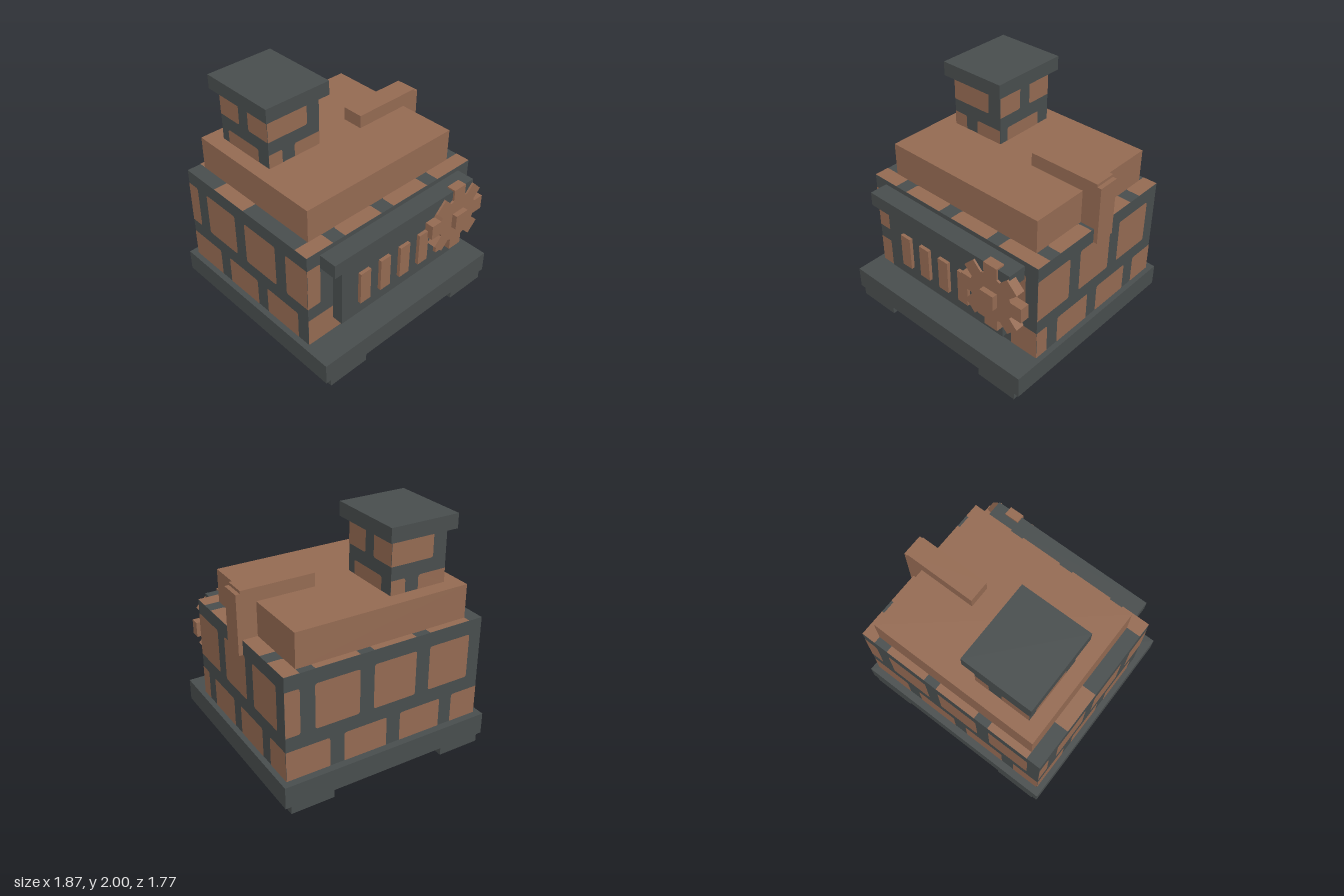
import * as THREE from 'three';

const stone = new THREE.MeshStandardMaterial({ color: 0x484d4d });
stone.name = 'darkStone';
const clay = new THREE.MeshStandardMaterial({ color: 0x946a52 });
clay.name = 'brownClay';

// Box given by its limits on each axis
function box(name, mat, [x0, x1], [y0, y1], [z0, z1]) {
  const m = new THREE.Mesh(new THREE.BoxGeometry(x1 - x0, y1 - y0, z1 - z0), mat);
  m.position.set((x0 + x1) / 2, (y0 + y1) / 2, (z0 + z1) / 2);
  m.name = name;
  return m;
}

// Brick outline: corners are clipped unless they lie on the edge of the wall
function brickShape(u0, u1, v0, v1, W, H) {
  const s = new THREE.Shape();
  const onEdge = (u, v) => u < 0.001 || u > W - 0.001 || v < 0.001 || v > H - 0.001;
  const r = 0.022;
  const corners = [[u0, v0, 1, 0], [u1, v0, 0, 1], [u1, v1, -1, 0], [u0, v1, 0, -1]];
  corners.forEach(([u, v, dx, dy], i) => {
    const [px, py] = [corners[(i + 3) % 4][2], corners[(i + 3) % 4][3]];
    const k = onEdge(u, v) ? 0 : r;
    if (i === 0) s.moveTo(u - px * k, v - py * k);
    else s.lineTo(u - px * k, v - py * k);
    if (k) s.quadraticCurveTo(u, v, u + dx * k, v + dy * k);
  });
  s.closePath();
  return s;
}

// Brick faces on one wall; rows are [v0, v1, [[u0, u1], ...]] from the wall's lower left
function brickWall(name, W, H, rows, origin, rotX, rotY) {
  const shapes = [];
  for (const [v0, v1, spans] of rows)
    for (const [u0, u1] of spans) shapes.push(brickShape(u0, u1, v0, v1, W, H));
  const m = new THREE.Mesh(new THREE.ShapeGeometry(shapes, 4), clay);
  m.position.set(...origin);
  m.rotation.set(rotX, rotY, 0);
  m.name = name;
  return m;
}

// Gear outline with eight square teeth
function gearGeometry(depth) {
  const s = new THREE.Shape();
  const root = 0.2, tip = 0.303, half = 0.066;
  for (let i = 0; i < 8; i++) {
    const a = (i * Math.PI) / 4, c = Math.cos(a), n = Math.sin(a);
    for (const [r, t] of [[root, -half], [tip, -half], [tip, half], [root, half]]) {
      const x = r * c - t * n, y = r * n + t * c;
      if (i === 0 && r === root && t < 0) s.moveTo(x, y);
      else s.lineTo(x, y);
    }
  }
  s.closePath();
  return new THREE.ExtrudeGeometry(s, { depth, bevelEnabled: false });
}

export function createModel() {
  const g = new THREE.Group();
  g.name = 'brickFurnace';

  // Base slab and feet
  g.add(box('baseSlab', stone, [-0.935, 0.932], [0.065, 0.255], [-0.885, 0.885]));
  for (const x of [-1, 1]) for (const z of [-1, 1]) {
    const span = (s) => (s > 0 ? [0.508, 0.885] : [-0.885, -0.508]);
    g.add(box('foot', stone, span(x), [0, 0.065], span(z)));
  }

  // Body, roof block, chimney and cap
  g.add(box('body', stone, [-0.885, 0.885], [0.255, 1.142], [-0.822, 0.635]));
  g.add(box('roofBlock', clay, [-0.76, 0.757], [1.142, 1.432], [-0.76, 0.508]));
  g.add(box('chimney', stone, [-0.635, -0.132], [1.432, 1.88], [-0.632, -0.062]));
  g.add(box('chimneyCap', stone, [-0.685, -0.08], [1.88, 2], [-0.692, 0]));

  // Bricks on the body walls
  const e = 0.002, W = 1.77, D = 1.457, H = 0.887;
  const full = [[0, 0.375], [0.5, 0.885], [1.01, 1.395], [1.515, W]];
  const shifted = [[0, 0.125], [0.25, 0.635], [0.76, 1.145], [1.27, 1.655]];
  const sideA = [[0, 0.365], [0.485, 0.85], [0.97, 1.34]];
  const sideB = [[0, 0.12], [0.24, 0.607], [0.727, 1.095], [1.215, D]];
  const rows = (low, high) => [[0, 0.257, low], [0.38, 0.765, high]];
  const q = Math.PI / 2;
  g.add(brickWall('frontBricks', W, H, rows(full, shifted), [-0.885, 0.255, 0.635 + e], 0, 0));
  g.add(brickWall('backBricks', W, H, rows(full, shifted), [0.885, 0.255, -0.822 - e], 0, Math.PI));
  g.add(brickWall('rightBricks', D, H, rows(sideB, sideA), [0.885 + e, 0.255, 0.635], 0, q));
  g.add(brickWall('leftBricks', D, H, rows(sideA, sideB), [-0.885 - e, 0.255, -0.822], 0, -q));

  // Bricks on the ledge around the roof block
  const ledgeA = [[0, 0.255], [0.375, 0.755], [0.885, 1.265], [1.385, W]];
  const ledgeB = [[0.125, 0.505], [0.635, 1.015], [1.135, 1.515], [1.642, W]];
  g.add(brickWall('ledgeBricks', W, D, [
    [0, 0.13, ledgeA], [0.245, 0.607, ledgeB], [0.735, 1.1, ledgeA], [1.217, D, ledgeB],
  ], [-0.885, 1.142 + e, 0.635], -q, 0));

  // Bricks on the chimney walls
  const cw = 0.503, cd = 0.57, ch = 0.448;
  const wide = [[0, 0.12, [[0, 0.13], [0.25, cw]]], [0.233, ch, [[0, 0.38]]]];
  const deep = [[0, 0.12, [[0.08, 0.45]]], [0.233, ch, [[0, 0.23], [0.34, cd]]]];
  g.add(brickWall('chimneyFrontBricks', cw, ch, wide, [-0.635, 1.432, -0.062 + e], 0, 0));
  g.add(brickWall('chimneyBackBricks', cw, ch, wide, [-0.132, 1.432, -0.632 - e], 0, Math.PI));
  g.add(brickWall('chimneyRightBricks', cd, ch, deep, [-0.132 + e, 1.432, -0.062], 0, q));
  g.add(brickWall('chimneyLeftBricks', cd, ch, deep, [-0.635 - e, 1.432, -0.632], 0, -q));

  // Pipe over the roof and down the side
  g.add(box('pipeTop', clay, [0.255, 0.885], [1.4, 1.546], [-0.187, 0]));
  g.add(box('pipeDown', clay, [0.757, 0.921], [1.018, 1.522], [-0.187, 0]));

  // Front panel, hood and vent bars
  g.add(box('frontPanel', stone, [-0.635, 0.63], [0.385, 0.98], [0.635, 0.735]));
  g.add(box('hood', stone, [-0.76, 0.757], [0.98, 1.102], [0.635, 0.795]));
  for (let i = 0; i < 5; i++) {
    const x = -0.465 + i * 0.216;
    g.add(box('ventBar', clay, [x, x + 0.106], [0.51, 0.81], [0.735, 0.765]));
  }

  // Gear and its axle
  const gear = new THREE.Mesh(gearGeometry(0.08), clay);
  gear.position.set(0.58, 0.813, 0.732);
  gear.name = 'gear';
  g.add(gear);
  g.add(box('gearAxle', clay, [0.513, 0.647], [0.748, 0.88], [0.635, 0.857]));
  return g;
}
